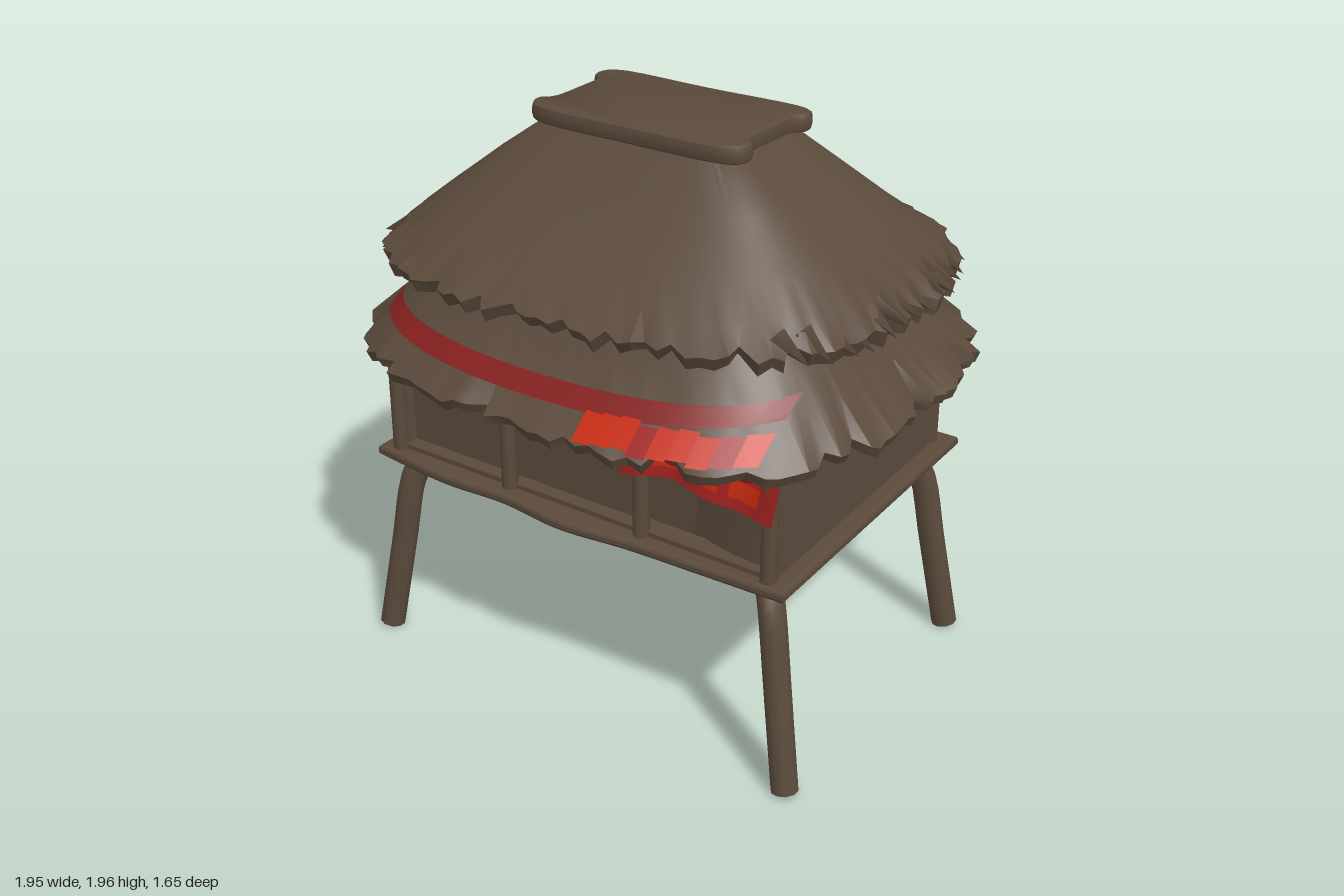
import * as THREE from 'three';
import { toCreasedNormals } from 'three/addons/utils/BufferGeometryUtils.js';

const mat = (name, color, side = THREE.FrontSide) => {
  const m = new THREE.MeshStandardMaterial({ color, side });
  m.name = name;
  return m;
};

// small seeded random source
function seeded(seed) {
  return () => {
    seed = (seed * 16807) % 2147483647;
    return seed / 2147483647;
  };
}

// rounded-rectangle rings [y, halfX, halfZ, squareness, raggedness], listed top to bottom
function loft(rings, { seg = 144, sag = 0, seed = 7 } = {}) {
  const rnd = seeded(seed);
  const jag = Array.from({ length: seg }, () => {
    const notch = rnd() < 0.13 ? -0.045 : 0;
    return [(rnd() - 0.7) * 0.035 + notch, (rnd() - 0.5) * 0.025 - notch * 0.3];
  });
  const pos = [0, rings[0][0], 0], idx = [];
  rings.forEach(([y, a, b, n, rag = 0]) => {
    for (let j = 0; j < seg; j++) {
      const t = (j / seg) * Math.PI * 2, u = Math.cos(t), v = Math.sin(t);
      const k = (Math.abs(u) ** n + Math.abs(v) ** n) ** (-1 / n) * (1 + jag[j][0] * rag);
      pos.push(a * k * u, y + jag[j][1] * rag - sag * rag * u ** 4, b * k * v);
    }
  });
  const at = (i, j) => 1 + i * seg + (j % seg);
  for (let j = 0; j < seg; j++) {
    idx.push(0, at(0, j + 1), at(0, j));
    for (let i = 0; i < rings.length - 1; i++) {
      const A = at(i, j), B = at(i, j + 1), C = at(i + 1, j), D = at(i + 1, j + 1);
      idx.push(A, B, C, B, D, C);
    }
  }
  const g = new THREE.BufferGeometry();
  g.setAttribute('position', new THREE.Float32BufferAttribute(pos, 3));
  g.setIndex(idx);
  return toCreasedNormals(g, 0.7);
}

// grid sheet whose vertices follow a rule of (u, v), v = 1 at the top
function sheet(rule, nx, ny) {
  const g = new THREE.PlaneGeometry(1, 1, nx, ny), p = g.attributes.position;
  for (let i = 0; i < p.count; i++) p.setXYZ(i, ...rule(p.getX(i) + 0.5, p.getY(i) + 0.5));
  g.computeVertexNormals();
  return g;
}

const lowerSlope = [
  [1.5, 0.66, 0.52, 4.2],
  [1.4, 0.74, 0.585, 4],
  [1.3, 0.83, 0.665, 3.7],
  [1.17, 0.97, 0.82, 3.1],
];

// point on the front of the lower roof at a given x and height
function onLowerRoof(x, y, lift) {
  let i = 0;
  while (i < 2 && y < lowerSlope[i + 1][0]) i++;
  const p = lowerSlope[i], q = lowerSlope[i + 1], f = (p[0] - y) / (p[0] - q[0]);
  const [, a, b, n] = p.map((e, k) => e + (q[k] - e) * f);
  return [x, y + lift * 0.5, b * (1 - Math.abs(x / a) ** n) ** (1 / n) + lift];
}

export function createModel() {
  const group = new THREE.Group();
  const brown = mat('weathered brown', 0x5a4a3b);
  const darkRed = mat('faded red', 0x84201f, THREE.DoubleSide);
  const red = mat('cloth red', 0xa02220, THREE.DoubleSide);
  const bright = mat('bright red', 0xc62a0e, THREE.DoubleSide);
  const add = (name, geometry, material = brown, x = 0, y = 0, z = 0) => {
    const m = new THREE.Mesh(geometry, material);
    m.name = name;
    m.position.set(x, y, z);
    group.add(m);
    return m;
  };

  // splayed legs that bend inward under the platform
  for (const sx of [-1, 1]) for (const sz of [-1, 1]) {
    const back = sz < 0 ? 0.015 : 0;
    const path = new THREE.CatmullRomCurve3([
      [0.835, -0.01, 0.575], [0.775, 0.36, 0.54], [0.733, 0.61, 0.515], [0.705, 0.68, 0.49], [0.66, 0.735, 0.45],
    ].map(([x, y, z]) => new THREE.Vector3(x * sx, Math.max(y, 0), (z - back) * sz)));
    add('leg', new THREE.TubeGeometry(path, 14, 0.046, 10));
    const foot = add('legFoot', new THREE.CircleGeometry(0.045, 10), brown, 0.835 * sx, 0.001, (0.575 - back) * sz);
    foot.rotation.x = Math.PI / 2;
  }

  // platform with a wavy front edge
  const deck = new THREE.Shape();
  deck.moveTo(-0.8, 0.58);
  deck.lineTo(0.8, 0.58);
  deck.lineTo(0.8, -0.58);
  deck.splineThru([[0.5, -0.59], [0.25, -0.6], [0, -0.625], [-0.25, -0.6], [-0.5, -0.61], [-0.8, -0.58]]
    .map(([x, y]) => new THREE.Vector2(x, y)));
  deck.closePath();
  const deckGeo = new THREE.ExtrudeGeometry(deck, {
    depth: 0.015, bevelEnabled: true, bevelThickness: 0.012, bevelSize: 0.015, bevelSegments: 2, curveSegments: 5,
  });
  deckGeo.rotateX(-Math.PI / 2);
  add('platform', deckGeo, brown, 0, 0.72, 0);

  // walls
  const box = (w, h, d) => new THREE.BoxGeometry(w, h, d);
  for (const s of [-1, 1]) add('sideWall', box(0.04, 0.5, 1.07), brown, 0.735 * s, 0.98, 0.01);
  add('backWall', box(1.48, 0.5, 0.04), brown, 0, 0.98, -0.515);
  add('frontWall', box(1.46, 0.5, 0.03), brown, 0, 0.98, 0.45);
  add('frontPanel', box(0.96, 0.5, 0.03), brown, -0.24, 0.98, 0.49);
  add('doorSill', box(1.44, 0.025, 0.07), brown, 0, 0.752, 0.52);
  const curtain = sheet((u, v) => [0.41 + u * 0.31 + 0.02 * Math.sin(v * 4), 0.75 + v * 0.45,
    0.47 + 0.05 * Math.sin(u * Math.PI * 0.6)], 10, 8);
  const doorPanel = add('doorPanel', curtain);
  doorPanel.castShadow = false;

  // posts
  for (const x of [-0.74, -0.26, 0.27, 0.74])
    add('frontPost', new THREE.CylinderGeometry(0.025, 0.028, 0.46, 8), brown, x, 0.96, 0.555);
  for (const x of [-0.74, 0.74])
    add('backPost', new THREE.CylinderGeometry(0.025, 0.028, 0.46, 8), brown, x, 0.96, -0.52);

  // thatched roof tiers with ragged, thick eaves
  add('lowerRoof', loft([
    ...lowerSlope.slice(0, 3),
    [1.17, 0.97, 0.82, 3.1, 1],
    [1.135, 0.955, 0.805, 3.1, 1.2],
    [1.15, 0.86, 0.71, 3.4],
    [1.22, 0.7, 0.5, 5],
  ], { seed: 11, sag: 0.005 }));
  add('upperRoof', loft([
    [1.91, 0.36, 0.215, 6],
    [1.78, 0.54, 0.355, 4.2],
    [1.65, 0.71, 0.52, 3.3],
    [1.57, 0.81, 0.64, 3],
    [1.505, 0.91, 0.765, 2.75, 1],
    [1.465, 0.895, 0.745, 2.75, 1.4],
    [1.47, 0.8, 0.66, 3],
    [1.49, 0.6, 0.46, 4],
  ], { seed: 29, sag: 0.035 }));

  // frayed overlapping tufts along the side eaves of the upper tier
  const rnd = seeded(53);
  for (const s of [-1, 1]) for (let i = 0; i < 13; i++) {
    const z = -0.48 + i * 0.08 + rnd() * 0.03;
    const x = 0.885 * (1 - (Math.abs(z) / 0.76) ** 2.75) ** (1 / 2.75);
    const tuft = add('thatchTuft', new THREE.ConeGeometry(0.035, 0.13, 4), brown, s * (x - 0.01), 1.475 + rnd() * 0.03, z);
    tuft.rotation.set((rnd() - 0.5) * 0.8, 0, s * (-2.15 + rnd() * 0.25));
    tuft.scale.z = 1.3;
  }

  // ridge cap with flared corners
  const cap = new THREE.Shape();
  cap.setFromPoints(new THREE.SplineCurve([
    [0.36, 0], [0.365, 0.13], [0.395, 0.185], [0.33, 0.23], [0, 0.225], [-0.33, 0.23], [-0.4, 0.17], [-0.36, 0.12],
    [-0.355, 0], [-0.36, -0.12], [-0.395, -0.17], [-0.32, -0.225], [0, -0.23], [0.32, -0.225], [0.395, -0.17],
    [0.36, -0.11], [0.36, 0],
  ].map(([x, y]) => new THREE.Vector2(x, y))).getPoints(64));
  const capGeo = new THREE.ExtrudeGeometry(cap, {
    depth: 0.02, bevelEnabled: true, bevelThickness: 0.02, bevelSize: 0.012, bevelSegments: 2,
  });
  capGeo.rotateX(-Math.PI / 2);
  add('ridgeCap', toCreasedNormals(capGeo, 0.7), brown, 0, 1.915, 0);

  // painted band and bright patch on the front of the lower roof
  add('roofBand', sheet((u, v) => {
    const x = -0.74 + u * 1.5;
    return onLowerRoof(x, 1.228 + 0.035 * (x - 0.05) ** 2 / 0.5 + 0.05 * v + 0.02 * u, 0.015);
  }, 48, 3), darkRed);
  for (let i = 0; i < 9; i++) {
    add('roofPatch', sheet((u, v) => onLowerRoof(0.21 + (i + u) * 0.061, 1.18 + 0.005 * (i % 3) + v * 0.068, 0.02), 2, 3),
      i % 4 === 3 ? red : bright);
  }

  // sagging cloth beneath the front eave
  add('hangingBand', sheet((u, v) => {
    const x = -0.81 + u * 1.57, low = 1.045 + 0.035 * (x / 0.8) ** 2;
    return [x, low + v * (1.14 - low), 0.61 - 0.06 * (x / 0.8) ** 2 + 0.015 * v];
  }, 32, 2), darkRed);
  const banner = (u, v, lift) => [0.23 + u * 0.54 + 0.015 * v,
    0.99 + 0.025 * Math.sin(u * 5) + v * 0.13, 0.615 - 0.03 * u + 0.012 * Math.sin(u * 14) - 0.02 * v + lift];
  add('hangingBanner', sheet((u, v) => banner(u, v, 0.004), 24, 4), red);
  for (const [u0, w] of [[0.22, 0.2], [0.48, 0.16], [0.7, 0.18]])
    add('bannerPatch', sheet((u, v) => banner(u0 + u * w, 0.3 + v * 0.45, 0.009), 6, 3), bright);

  return group;
}
